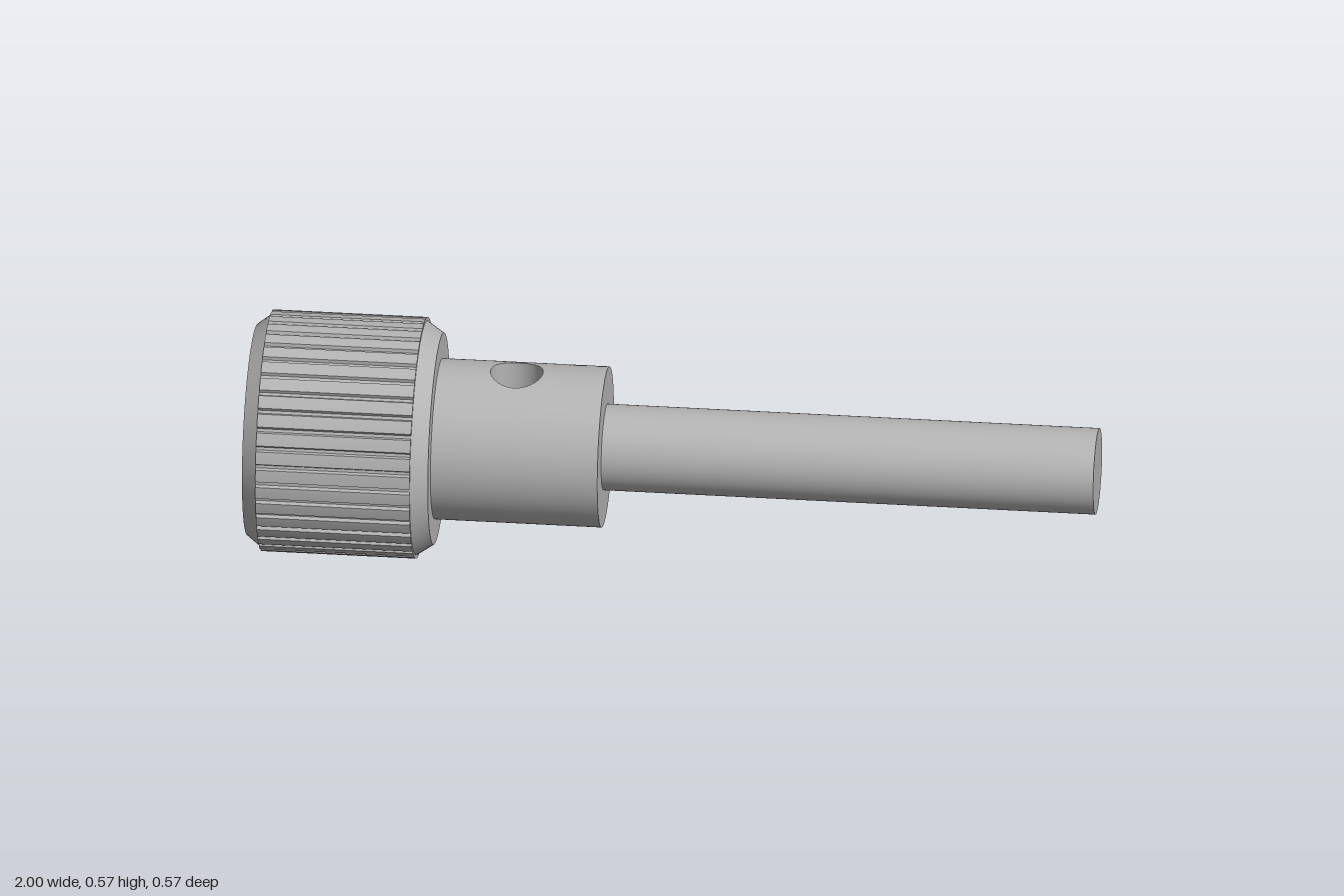
import * as THREE from 'three';
import { mergeGeometries, mergeVertices } from 'three/addons/utils/BufferGeometryUtils.js';

const RADIUS = 0.285, HUB = 0.19, SHAFT = 0.102;
const HUB_START = -0.56, HUB_END = -0.165;

// Turned part along the x axis from [radius, x] pairs, with sharp edges between segments
function turned(profile, start = 0, sweep = Math.PI * 2) {
  const pieces = [];
  for (let i = 0; i < profile.length - 1; i++) {
    const pair = [profile[i], profile[i + 1]].map(([r, x]) => new THREE.Vector2(r, x));
    pieces.push(new THREE.LatheGeometry(pair, 72, start, sweep));
  }
  return mergeGeometries(pieces).rotateZ(-Math.PI / 2);
}

// Smooth surface from rings: point(angle, s), s from 0 to 1
function rings(point, steps, sides = 64) {
  const pos = [], index = [];
  for (let j = 0; j <= steps; j++) {
    for (let i = 0; i < sides; i++) pos.push(...point((i / sides) * Math.PI * 2, j / steps));
  }
  for (let j = 0; j < steps; j++) {
    for (let i = 0; i < sides; i++) {
      const a = j * sides + i, b = j * sides + ((i + 1) % sides);
      index.push(a, b, a + sides, b, b + sides, a + sides);
    }
  }
  const g = new THREE.BufferGeometry();
  g.setAttribute('position', new THREE.Float32BufferAttribute(pos, 3));
  g.setIndex(index);
  const merged = mergeVertices(g);
  merged.computeVertexNormals();
  return merged;
}

// Outline of the grip with narrow grooves around it
function knurlShape(count, depth) {
  const shape = new THREE.Shape();
  const pitch = (Math.PI * 2) / count;
  const steps = [[0, 0], [0.22, 0], [0.45, 0], [0.68, 0], [0.76, depth], [0.92, depth]];
  for (let i = 0; i < count; i++) {
    steps.forEach(([f, d], k) => {
      const a = (i + f) * pitch, r = RADIUS - d;
      if (i + k === 0) shape.moveTo(r * Math.cos(a), r * Math.sin(a));
      else shape.lineTo(r * Math.cos(a), r * Math.sin(a));
    });
  }
  shape.closePath();
  return shape;
}

export function createModel() {
  const model = new THREE.Group();
  model.name = 'knurledThumbScrew';
  const steel = new THREE.MeshStandardMaterial({ color: 0xb4b4b4 });
  steel.name = 'grey steel';

  const body = new THREE.Group();
  body.name = 'screwBody';
  body.position.y = RADIUS;
  model.add(body);
  const add = (name, geometry) => {
    const mesh = new THREE.Mesh(geometry, steel);
    mesh.name = name;
    body.add(mesh);
  };

  // Knurled grip, as an open band between the two chamfered ends
  const grip = new THREE.ExtrudeGeometry(knurlShape(40, 0.008), { depth: 0.365, bevelEnabled: false });
  // The end caps would block the recess, so keep only the side walls
  const wall = grip.groups.find((g) => g.materialIndex === 1);
  const sides = new THREE.BufferGeometry();
  for (const key of ['position', 'normal']) {
    const part = grip.attributes[key].array.slice(wall.start * 3, (wall.start + wall.count) * 3);
    sides.setAttribute(key, new THREE.BufferAttribute(part, 3));
  }
  add('knurledGrip', sides.rotateY(Math.PI / 2).translate(-0.965, 0, 0));

  // Chamfered ends, the outer one with a round recess
  add('recessedEnd', turned([[0, -0.92], [0.14, -0.92], [0.14, -1], [0.25, -1], [0.277, -0.965], [RADIUS, -0.965]]));
  add('innerEnd', turned([[RADIUS, -0.6], [0.277, -0.6], [0.25, HUB_START], [0, HUB_START]]));

  // Hub: plain wall below, curved panel with a round hole on top
  const half = Math.PI / 4;
  add('hubWall', turned([[HUB, HUB_START], [HUB, HUB_END]], Math.PI * 1.5 + half, Math.PI * 2 - half * 2));
  add('hubFace', turned([[HUB, HUB_END], [0, HUB_END]]));
  const mid = (HUB_START + HUB_END) / 2, halfLength = (HUB_END - HUB_START) / 2;
  const holeX = -0.375, holeR = 0.062, holeFloor = 0.1;
  const rim = (t) => [holeX + holeR * Math.cos(t), holeR * Math.sin(t)];
  add('hubTop', rings((t, s) => {
    const c = Math.cos(t), n = Math.sin(t), m = Math.max(Math.abs(c), Math.abs(n));
    const [rx, rz] = rim(t);
    const x = THREE.MathUtils.lerp(rx, mid + (halfLength * c) / m, s);
    const a = THREE.MathUtils.lerp(Math.asin(rz / HUB), (half * n) / m, s);
    return [x, HUB * Math.cos(a), HUB * Math.sin(a)];
  }, 10));
  add('holeWall', rings((t, s) => {
    const [x, z] = rim(t);
    return [x, THREE.MathUtils.lerp(holeFloor, Math.sqrt(HUB * HUB - z * z), s), z];
  }, 1));
  add('holeFloor', new THREE.CircleGeometry(holeR, 48).rotateX(-Math.PI / 2).translate(holeX, holeFloor, 0));

  // Shaft, running through to a slotted end in the recess
  add('shaft', turned([[0, -0.95], [SHAFT, -0.95], [SHAFT, 1], [0, 1]]));
  const slot = 0.013, start = Math.asin(slot / SHAFT);
  for (const turn of [0, Math.PI]) {
    const segment = new THREE.Shape();
    segment.absarc(0, 0, SHAFT, start, Math.PI - start, false);
    segment.closePath();
    const cheek = new THREE.ExtrudeGeometry(segment, { depth: 0.035, bevelEnabled: false, curveSegments: 36 });
    add('slottedEnd', cheek.rotateZ(turn - Math.PI / 6).rotateY(Math.PI / 2).translate(-0.985, 0, 0));
  }
  return model;
}
